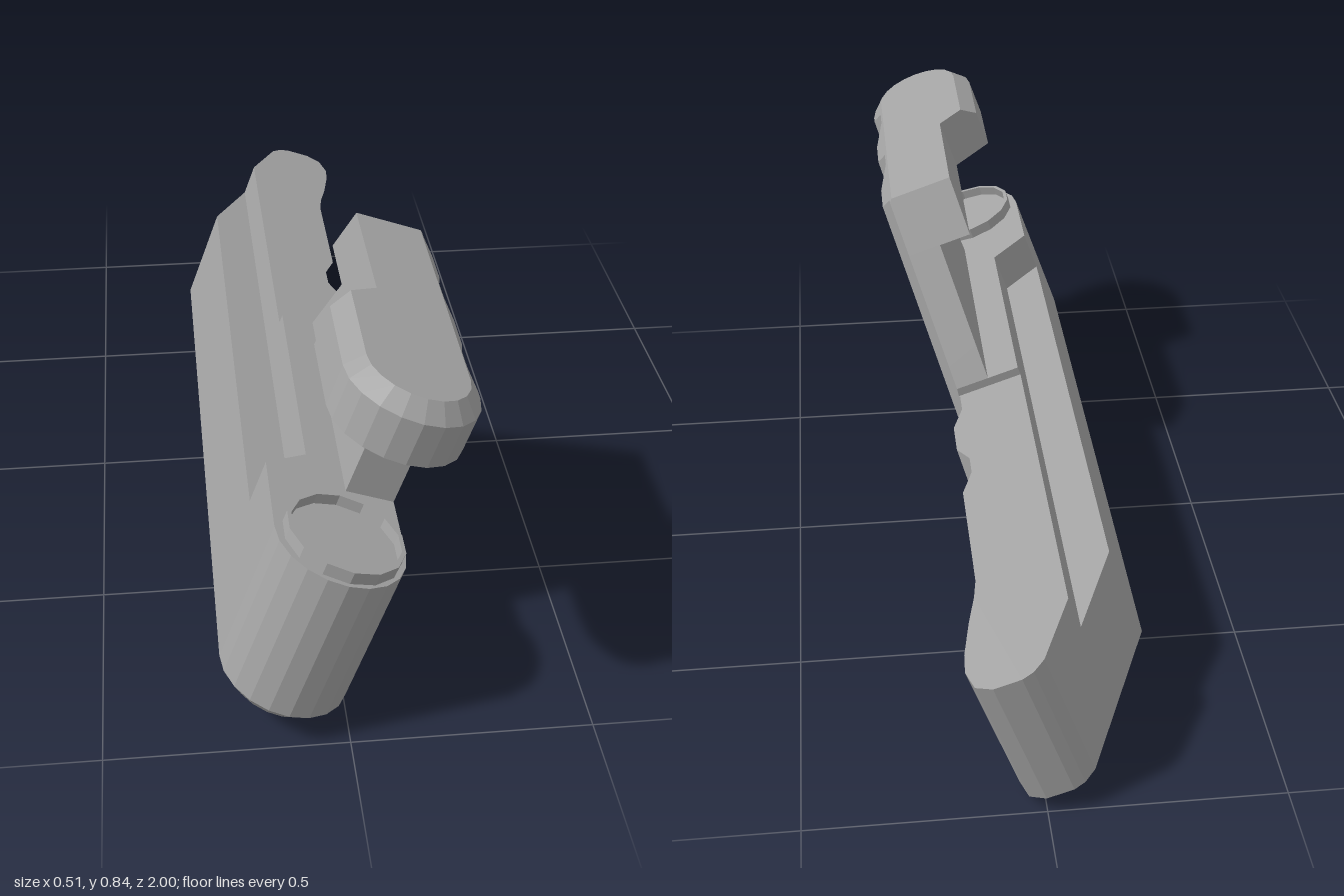
import * as THREE from 'three';

// Local frame: s = across, t = up, z = along; the whole object leans by LEAN.
const LEAN = 0.34;
const RIB_SLOPE = 0.6, RIB_DEPTH = 0.027, RIB_STEP = 0.26, RIB_START = -0.578;
const SIDE = -0.006, LEFT = -0.284, BEVEL = 0.034, MID = -0.145;

// Slanted grip grooves: depth profile across one groove, repeated four times
const groove = [[0, 0], [0.065, 1], [0.12, 1], [0.17, 0]];
const breaks = [];
for (let k = 0; k < 4; k++) groove.forEach(([w]) => breaks.push(RIB_START + k * RIB_STEP + w));

function dip(w) {
  const k = Math.floor((w - RIB_START) / RIB_STEP);
  if (k < 0 || k > 3) return 0;
  const u = w - RIB_START - k * RIB_STEP;
  for (let i = 0; i < 3; i++) {
    const [a, da] = groove[i], [b, db] = groove[i + 1];
    if (u >= a && u <= b) return RIB_DEPTH * (da + (db - da) * (u - a) / (b - a));
  }
  return 0;
}

// Grooved side, from back to front. lift raises/lowers the edge where it meets a bevel.
function gripSide(back, front, t, lift = 0, inset = false) {
  const at = (pick) => {
    let tt = t, z = 0, d = 0;
    for (let i = 0; i < 4; i++) {
      z = pick(tt);
      d = dip(z - RIB_SLOPE * tt);
      tt = t + lift * d;
    }
    return [inset ? SIDE - BEVEL : SIDE - d, tt, z];
  };
  return [
    at(back),
    ...breaks.map((w) => at((tt) => Math.min(front, Math.max(back(tt), w + RIB_SLOPE * tt)))),
    at(() => front),
  ];
}

// Rounded front end, from the grooved side to the plain side
function nose(t, inset = 0) {
  const pts = [], r = 0.139 - inset, n = 10;
  for (let i = inset ? 0 : 1; i <= n; i++) {
    const a = Math.PI * i / n;
    pts.push([MID + r * Math.cos(a), t, 0.86 + (r + 0.001) * Math.sin(a)]);
  }
  if (inset) pts.shift();
  return pts;
}

// Flared tail outline with bevel directions: s, z, ds, dz
const tailPoints = [
  [-0.12, -0.965, 0.9, 0.6], [-0.095, -0.99, 0.7, 0.9], [-0.07, -1, 0.3, 1],
  [-0.01, -1, -0.3, 1], [0.025, -0.98, -0.7, 0.7], [0.041, -0.93, -1, 0.2],
  [0.038, -0.88, -1, 0], [0.02, -0.79, -1, 0], [0.002, -0.72, -1, 0],
];
const tail = (t, inset = 0) => tailPoints.map(([s, z, a, b]) => [s + a * inset, t, z + b * inset]);

// Skin a stack of equal-length rings and close both ends
function loft(rings) {
  const pos = [];
  const tri = (a, b, c) => pos.push(...a, ...b, ...c);
  const n = rings[0].length;
  for (let j = 0; j + 1 < rings.length; j++) {
    const lo = rings[j], hi = rings[j + 1];
    for (let i = 0; i < n; i++) {
      const k = (i + 1) % n;
      tri(lo[i], hi[i], lo[k]);
      tri(lo[k], hi[i], hi[k]);
    }
  }
  const cap = (ring, up) => {
    const pts = ring.filter((p, i) => {
      const q = ring[(i + 1) % n];
      return Math.hypot(p[0] - q[0], p[2] - q[2]) > 1e-5;
    });
    const faces = THREE.ShapeUtils.triangulateShape(pts.map((p) => new THREE.Vector2(p[0], p[2])), []);
    for (const [a, b, c] of faces) {
      const [p, q, r] = [pts[a], pts[b], pts[c]];
      const y = (q[2] - p[2]) * (r[0] - p[0]) - (q[0] - p[0]) * (r[2] - p[2]);
      if ((y > 0) === up) tri(p, q, r); else tri(p, r, q);
    }
  };
  cap(rings[0], false);
  cap(rings[rings.length - 1], true);
  const g = new THREE.BufferGeometry();
  g.setAttribute('position', new THREE.Float32BufferAttribute(pos, 3));
  g.computeVertexNormals();
  return g;
}

export function createModel() {
  const grey = new THREE.MeshStandardMaterial({ color: 0xa3a3a3, flatShading: true });
  grey.name = 'grey';
  const leaning = new THREE.Group();
  leaning.name = 'leaningBody';
  leaning.rotation.z = -LEAN;
  const add = (name, geometry) => {
    const m = new THREE.Mesh(geometry, grey);
    m.name = name;
    leaning.add(m);
    return m;
  };

  const BASE = () => -0.67;
  const slant = (t) => 0.025 + 0.58 * (t - 0.384); // sloping back of the upright

  // Lower body with bevelled underside, up to the side shelf
  const lowerRing = (t, lift, inset = 0) => [
    ...gripSide(BASE, 0.86, t, lift, inset > 0), ...nose(t, inset),
    [LEFT + inset, t, -0.62 + inset * 0.3], ...tail(t, inset),
  ];
  add('lowerBody', loft([lowerRing(0.003, 0, BEVEL), lowerRing(0.037, -1), lowerRing(0.28, 0)]));

  // Upper body, cut back above the shelf
  const upperRing = (t) => [
    ...gripSide(BASE, 0.86, t), ...nose(t),
    [LEFT, t, 0.65], [-0.19, t, 0.59], [-0.19, t, -0.818], ...tail(t),
  ];
  add('upperBody', loft([upperRing(0.28), upperRing(0.363)]));

  // Raised front deck
  const deckRing = (t) => [
    ...gripSide(() => 0.025, 0.86, t), ...nose(t),
    [LEFT, t, 0.65], [-0.19, t, 0.59], [-0.19, t, 0.025],
  ];
  add('frontDeck', loft([deckRing(0.363), deckRing(0.384)]));

  // Upright joining the deck to the head
  const uprightRings = [];
  for (let i = 0; i <= 12; i++) {
    const t = 0.384 + (0.68 - 0.384) * i / 12;
    uprightRings.push([...gripSide(slant, 0.69, t), [-0.113, t, 0.69], [-0.113, t, slant(t)]]);
  }
  add('upright', loft(uprightRings));

  // Overhanging head with bevelled top
  const headRing = (t, lift, inset = 0) => [
    ...gripSide(slant, 0.86, t, lift, inset > 0), ...nose(t, inset),
    [LEFT + inset, t, 0.65 - inset * 0.64], [-0.19, t, 0.59], [-0.19, t, slant(t)],
  ];
  add('head', loft([headRing(0.68, 0), headRing(0.772, 1), headRing(0.806, 0, BEVEL)]));

  // Round rims: a large cup on the deck and a small one under the head
  const rim = (name, outer, inner, height, floor, t) => {
    const profile = [[outer, 0], [outer, height], [inner, height], [inner, floor], [0, floor]];
    const m = add(name, new THREE.LatheGeometry(profile.map(([x, y]) => new THREE.Vector2(x, y)), 14));
    m.position.set(MID + 0.002, t, 0.866);
    return m;
  };
  rim('deckRim', 0.125, 0.116, 0.028, 0.004, 0.383);
  rim('headRim', 0.063, 0.05, 0.021, 0.004, 0.681).rotation.x = Math.PI;

  const model = new THREE.Group();
  model.name = 'steppedGrip';
  model.add(leaning);
  return model;
}
